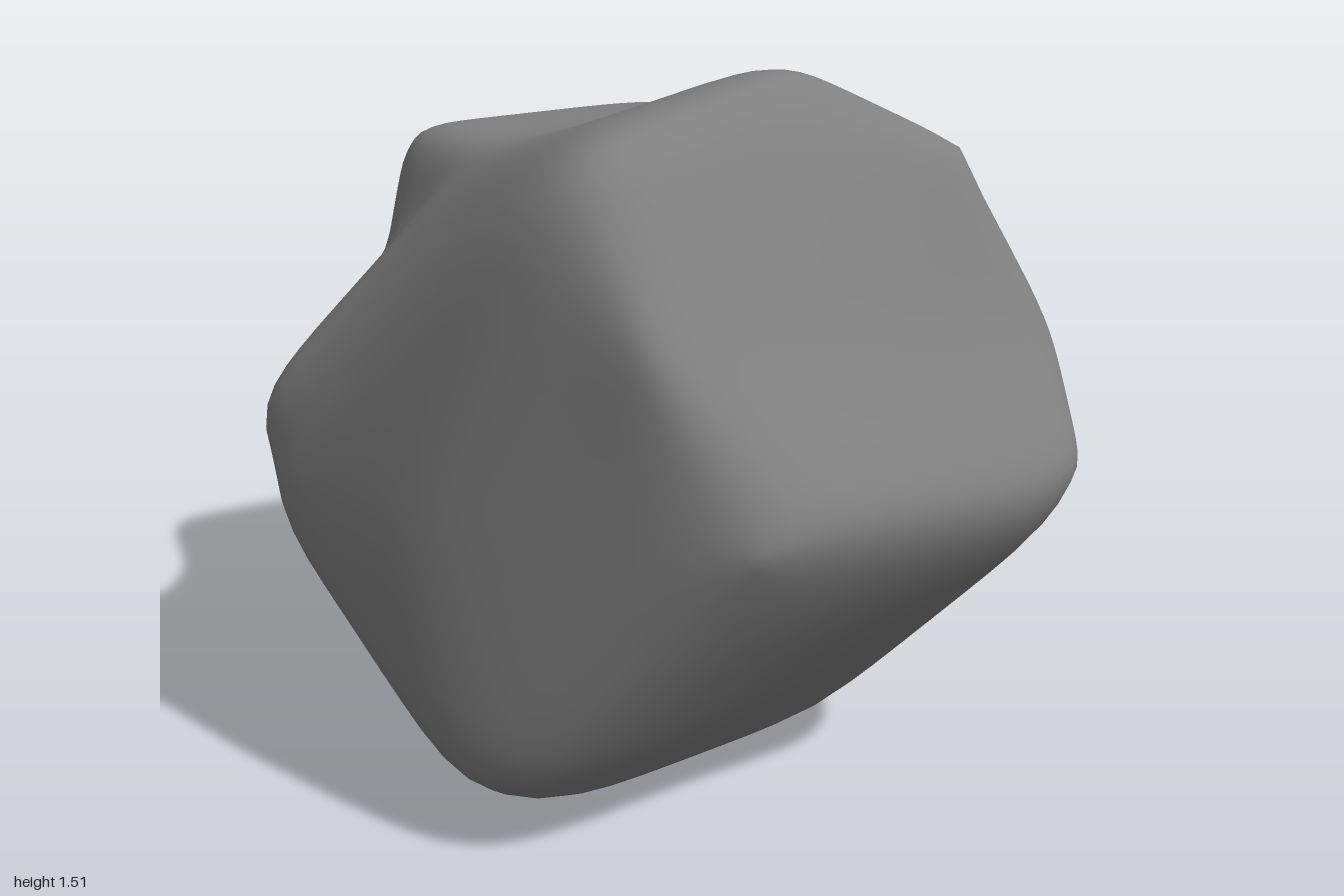
import * as THREE from 'three';
import { mergeVertices } from 'three/addons/utils/BufferGeometryUtils.js';

// Corners that the worn surface passes through
const corners = {
  brow: [0.11, 0.72, 0.99], browTop: [0, 1.06, 0.85], jowl: [-0.45, 0.65, 0.64],
  cheek: [0.785, 0.66, 0.62], shoulder: [0.77, 1.02, 0.45], flank: [0.75, 0.93, 0.16],
  foot: [0.4, 0.03, 0.14], toe: [-0.34, 0.1, 0.66], heel: [-0.33, 0.1, -0.43],
  peakRight: [0.62, 1.34, 0.36], crown: [0.28, 1.495, 0.37], peakLeft: [-0.22, 1.37, 0.64],
  saddleRight: [0.46, 1.32, -0.04], saddleMid: [0, 1.32, -0.2], saddleLeft: [-0.37, 1.25, -0.05],
  sideFront: [-0.77, 0.65, 0.25], sideBack: [-0.825, 0.69, -0.02], dip: [-0.57, 0.98, -0.3],
  backTopLeft: [-0.46, 1.25, -0.53], backTopRight: [0.13, 1.24, -0.75],
  tail: [0.07, 0.71, -0.99], backLeft: [-0.5, 0.66, -0.76],
  nose: [0.73, 0.69, -0.41], ridge: [0.48, 0.64, -0.6], undercut: [0.45, 0.34, -0.48],
};

// Facets between the corners, three or four corners each
const facets = [
  // front
  'brow cheek foot toe', 'brow cheek shoulder browTop', 'browTop shoulder peakRight crown',
  'browTop crown peakLeft', 'brow browTop peakLeft jowl', 'brow jowl toe',
  // side at -x
  'jowl peakLeft sideFront', 'jowl sideFront toe', 'peakLeft sideFront sideBack saddleLeft',
  'saddleLeft sideBack dip', 'saddleLeft dip backTopLeft', 'backTopLeft dip backLeft',
  'dip sideBack backLeft', 'sideBack backLeft heel', 'sideFront sideBack heel toe',
  // top
  'crown peakLeft saddleLeft saddleMid', 'peakRight crown saddleMid saddleRight',
  'saddleMid saddleLeft backTopLeft', 'saddleMid backTopLeft backTopRight',
  'saddleRight saddleMid backTopRight',
  // side at +x
  'shoulder cheek flank', 'flank cheek nose', 'peakRight shoulder flank saddleRight',
  'saddleRight flank nose', 'saddleRight nose backTopRight', 'nose ridge backTopRight',
  'ridge tail backTopRight', 'nose undercut ridge', 'ridge undercut tail',
  'cheek foot undercut nose',
  // back and underside
  'backTopLeft backTopRight tail backLeft', 'tail undercut heel', 'tail heel backLeft',
  'foot heel toe', 'undercut heel foot',
].map(names => names.split(' '));

const DIVISIONS = 12, SMOOTHING = 8;
const middle = new THREE.Vector3(0, 0.75, 0);

// Fine grid over one facet, wound to face outward
function addFacet(positions, p) {
  const n = DIVISIONS, quad = p.length === 4, last = p[p.length - 1];
  const normal = quad
    ? p[2].clone().sub(p[0]).cross(p[3].clone().sub(p[1]))
    : p[1].clone().sub(p[0]).cross(p[2].clone().sub(p[0]));
  const centre = p.reduce((s, q) => s.add(q), new THREE.Vector3()).divideScalar(p.length);
  const outward = normal.dot(centre.sub(middle)) > 0;
  const at = (i, j) => {
    const u = i / n, v = j / n;
    if (quad) return p[0].clone().lerp(p[1], u).lerp(last.clone().lerp(p[2], u), v);
    return p[0].clone().multiplyScalar(1 - u - v).addScaledVector(p[1], u).addScaledVector(last, v);
  };
  const tri = (a, b, c) => {
    for (const q of outward ? [a, b, c] : [a, c, b]) positions.push(q.x, q.y, q.z);
  };
  for (let i = 0; i < n; i++) {
    for (let j = 0; j < (quad ? n : n - i); j++) {
      tri(at(i, j), at(i + 1, j), at(i, j + 1));
      if (quad || i + j < n - 1) tri(at(i + 1, j), at(i + 1, j + 1), at(i, j + 1));
    }
  }
}

// Wear the edges round by averaging each vertex with its neighbours
function smooth(geometry) {
  const pos = geometry.attributes.position, index = geometry.index.array;
  const near = Array.from({ length: pos.count }, () => new Set());
  for (let i = 0; i < index.length; i += 3) {
    for (let k = 0; k < 3; k++) {
      const a = index[i + k], b = index[i + (k + 1) % 3];
      near[a].add(b);
      near[b].add(a);
    }
  }
  const v = new THREE.Vector3();
  for (let pass = 0; pass < SMOOTHING; pass++) {
    const next = near.map((set, i) => {
      const sum = new THREE.Vector3();
      for (const k of set) sum.add(v.fromBufferAttribute(pos, k));
      return sum.divideScalar(set.size).lerp(v.fromBufferAttribute(pos, i), 0.3);
    });
    next.forEach((q, i) => pos.setXYZ(i, q.x, q.y, q.z));
  }
}

// Vertex of the unsmoothed grid that sits on a cage corner
function nearestVertex(pos, point) {
  const v = new THREE.Vector3();
  let best = 0, bestDistance = Infinity;
  for (let i = 0; i < pos.count; i++) {
    const d = v.fromBufferAttribute(pos, i).distanceToSquared(point);
    if (d < bestDistance) { best = i; bestDistance = d; }
  }
  return best;
}

// Smooth the cage, then move its corners until the worn surface meets them
function boulderGeometry() {
  const names = Object.keys(corners);
  const cage = {};
  for (const name of names) cage[name] = new THREE.Vector3(...corners[name]);
  let geometry;
  for (let round = 0; round < 4; round++) {
    const positions = [];
    for (const facet of facets) addFacet(positions, facet.map(name => cage[name]));
    geometry = new THREE.BufferGeometry();
    geometry.setAttribute('position', new THREE.Float32BufferAttribute(positions, 3));
    geometry = mergeVertices(geometry, 1e-3);
    const pos = geometry.attributes.position;
    const ids = names.map(name => nearestVertex(pos, cage[name]));
    smooth(geometry);
    names.forEach((name, k) => {
      const miss = new THREE.Vector3(...corners[name]).sub(new THREE.Vector3().fromBufferAttribute(pos, ids[k]));
      cage[name].addScaledVector(miss, 0.8);
    });
  }
  geometry.computeVertexNormals();
  return geometry;
}

export function createModel() {
  const stone = new THREE.MeshStandardMaterial({ color: 0x808080 });
  stone.name = 'stone grey';
  const boulder = new THREE.Mesh(boulderGeometry(), stone);
  boulder.name = 'boulder';
  const model = new THREE.Group();
  model.name = 'rock';
  model.add(boulder);
  return model;
}
